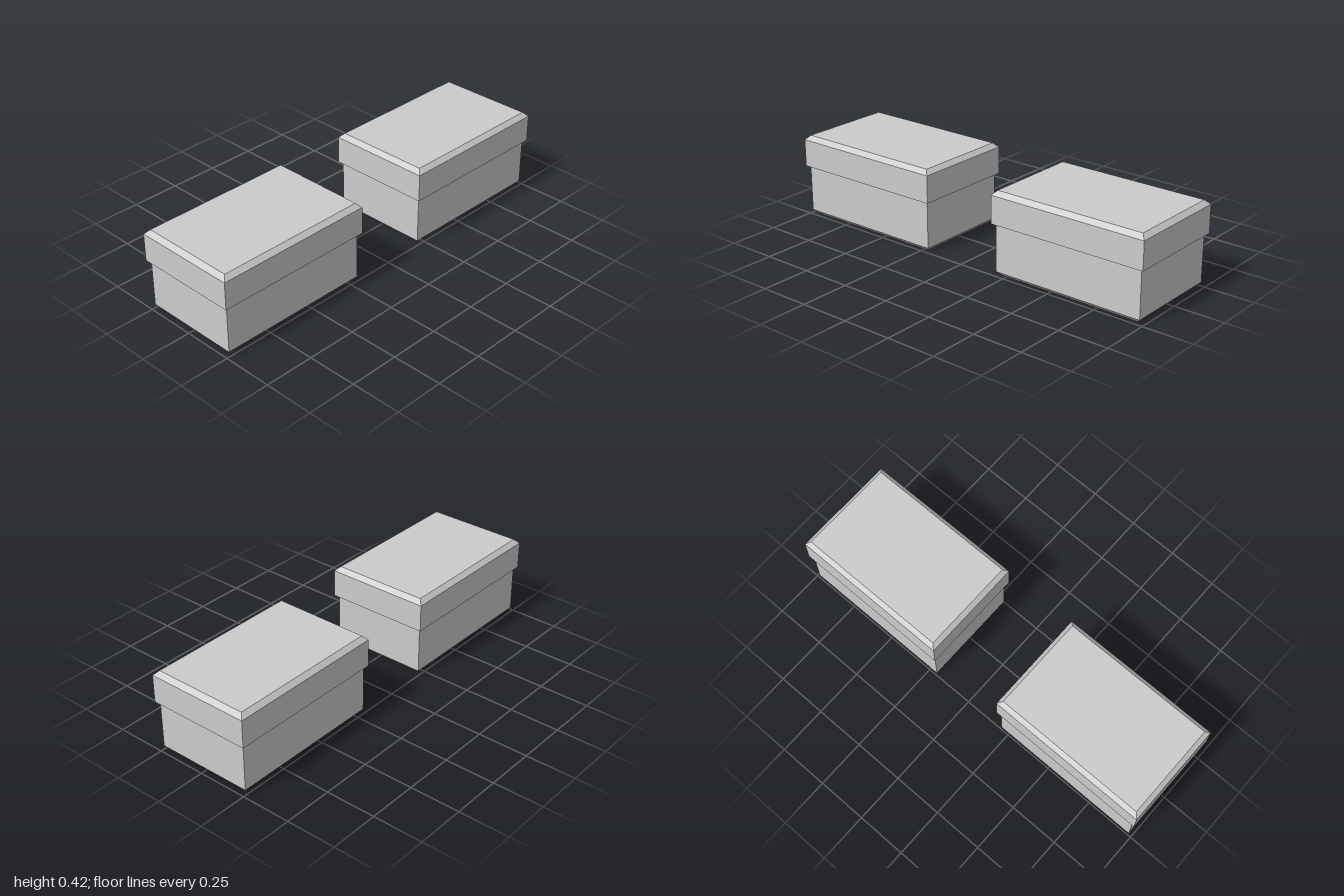
import * as THREE from 'three';

const CHAMFER = 0.022;

// Box from y0 to y1 with its top or bottom edges bevelled at 45 degrees.
function chamferedBox(halfX, halfZ, y0, y1, bevelTop) {
  const geo = new THREE.BoxGeometry(halfX * 2, 2, halfZ * 2, 1, 2, 1);
  const pos = geo.attributes.position;
  const bevelSide = bevelTop ? 1 : -1;
  const bevelY = bevelTop ? y1 - CHAMFER : y0 + CHAMFER;
  for (let i = 0; i < pos.count; i++) {
    const level = Math.round(pos.getY(i)); // -1 bottom, 0 bevel line, 1 top
    if (level === bevelSide) {
      pos.setX(i, Math.sign(pos.getX(i)) * (halfX - CHAMFER));
      pos.setZ(i, Math.sign(pos.getZ(i)) * (halfZ - CHAMFER));
    }
    pos.setY(i, level === 0 ? bevelY : level < 0 ? y0 : y1);
  }
  const flat = geo.toNonIndexed();
  flat.computeVertexNormals();
  return flat;
}

export function createModel() {
  const model = new THREE.Group();
  model.name = 'liddedBoxes';
  const material = new THREE.MeshStandardMaterial({ color: 0xcccccc, flatShading: true });

  // Body bevelled along the bottom, wider lid bevelled along the top
  const parts = {
    boxBody: chamferedBox(0.389, 0.246, 0, 0.257, false),
    boxLid: chamferedBox(0.405, 0.262, 0.257, 0.416, true),
  };

  // Two identical boxes side by side
  for (const side of [1, -1]) {
    const box = new THREE.Group();
    box.name = side > 0 ? 'leftBox' : 'rightBox';
    box.position.x = side * 0.595;
    for (const [name, geometry] of Object.entries(parts)) {
      const mesh = new THREE.Mesh(geometry, material);
      mesh.name = name;
      box.add(mesh);
    }
    model.add(box);
  }
  return model;
}
